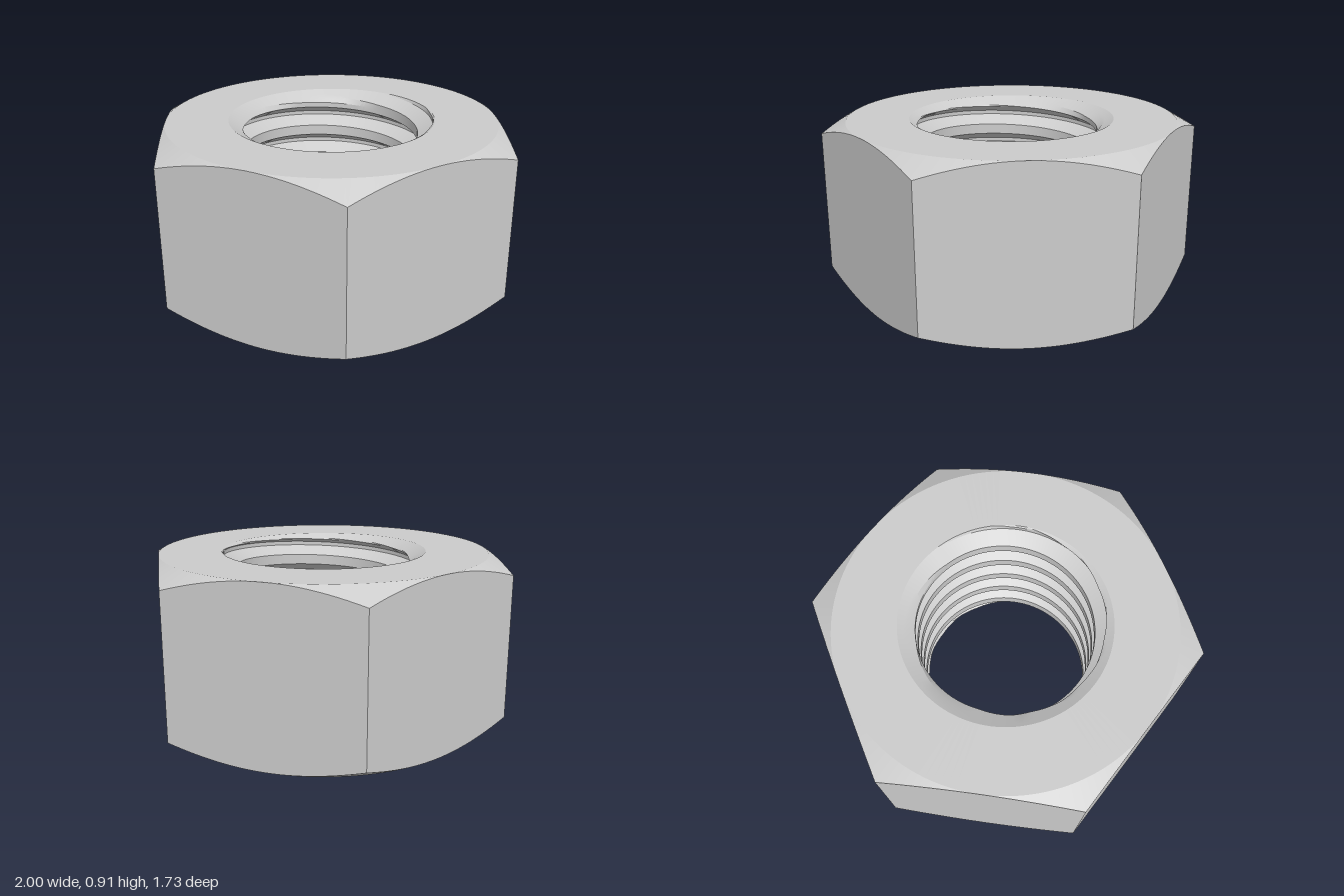
import * as THREE from 'three';
import { toCreasedNormals } from 'three/addons/utils/BufferGeometryUtils.js';

const HEIGHT = 0.91;
const APOTHEM = Math.sqrt(3) / 2; // half the distance across flats
const SLOPE = Math.tan(Math.PI / 6); // 30 degree chamfers
const RIM = 0.54, MAJOR = 0.533, MINOR = 0.455;
const PITCH = 0.1665;
const COLUMNS = 144;

// Skin a closed ring of columns; point(angle, row) returns [radius, height].
function ringSurface(rows, point) {
  const positions = [], index = [];
  for (let i = 0; i < rows; i++) {
    for (let j = 0; j <= COLUMNS; j++) {
      const angle = (j / COLUMNS) * Math.PI * 2;
      const [r, y] = point(angle, i);
      positions.push(r * Math.cos(angle), y, -r * Math.sin(angle));
      if (i < rows - 1 && j < COLUMNS) {
        const a = i * (COLUMNS + 1) + j, c = a + COLUMNS + 1;
        index.push(a, c, a + 1, a + 1, c, c + 1);
      }
    }
  }
  const geometry = new THREE.BufferGeometry();
  geometry.setAttribute('position', new THREE.Float32BufferAttribute(positions, 3));
  geometry.setIndex(index);
  // Enlarge while creasing so that close vertices are not merged
  geometry.scale(100, 100, 100);
  const creased = toCreasedNormals(geometry, Math.PI / 9);
  creased.scale(0.01, 0.01, 0.01);
  return creased;
}

// Hexagonal outside with conical corner chamfers on both faces
function hexBody() {
  return ringSurface(6, (angle, row) => {
    const sector = Math.PI / 3;
    const local = (angle + 1e-9) % sector - sector / 2;
    const corner = APOTHEM / Math.cos(local);
    const drop = (corner - APOTHEM) * SLOPE;
    return [
      [RIM, HEIGHT], [APOTHEM, HEIGHT], [corner, HEIGHT - drop],
      [corner, drop], [APOTHEM, 0], [RIM, 0],
    ][row];
  });
}

// Right-hand helical thread, cut by a countersink at each end
function threadedBore() {
  const crest = 0.028, root = 0.0105; // half widths of the flats
  const flankSteps = 6;
  const profile = []; // one pitch, from crest centre to crest centre
  profile.push([0, MINOR]);
  for (let k = 0; k <= flankSteps; k++) {
    const t = k / flankSteps;
    profile.push([crest + t * (PITCH / 2 - root - crest), MINOR + t * (MAJOR - MINOR)]);
  }
  for (const [y, r] of profile.slice(1).reverse()) profile.push([PITCH - y, r]);

  const turns = 8;
  const start = 0.715 - 6 * PITCH - PITCH * (125 / 360);
  return ringSurface(turns * profile.length, (angle, row) => {
    const [offset, r] = profile[row % profile.length];
    const turn = Math.floor(row / profile.length);
    const y = THREE.MathUtils.clamp(
      start + PITCH * (turn + angle / (2 * Math.PI)) + offset, 0, HEIGHT);
    const depth = Math.min(y, HEIGHT - y);
    return [Math.max(r, RIM - depth / SLOPE), y];
  });
}

export function createModel() {
  const model = new THREE.Group();
  model.name = 'hexNut';
  const material = new THREE.MeshStandardMaterial({ color: 0xcccccc });
  const parts = { hexBody: hexBody(), threadedBore: threadedBore() };
  for (const [name, geometry] of Object.entries(parts)) {
    const mesh = new THREE.Mesh(geometry, material);
    mesh.name = name;
    model.add(mesh);
  }
  return model;
}
